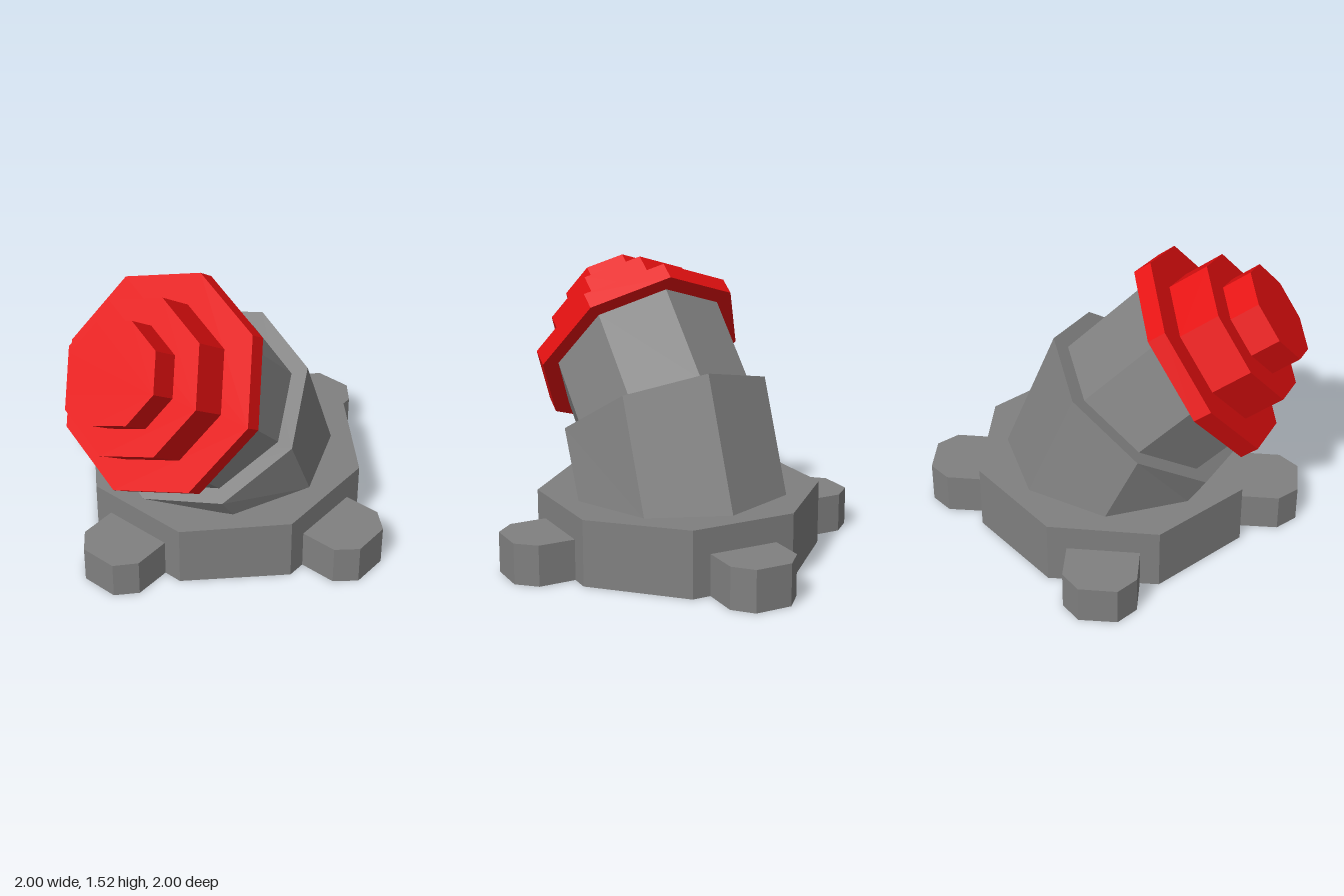
import * as THREE from 'three';

const grey = new THREE.MeshStandardMaterial({ name: 'grey metal', color: 0x808080, side: THREE.DoubleSide, flatShading: true });
const red = new THREE.MeshStandardMaterial({ name: 'red paint', color: 0xe61010, side: THREE.DoubleSide, flatShading: true });

// Faceted shell through rings of points, with optional flat ends
function loft(name, rings, material, { bottom = false, top = true, skipLast = false } = {}) {
  const pos = [];
  const tri = (...pts) => pts.forEach((p) => pos.push(p.x, p.y, p.z));
  const n = rings[0].length;
  for (let k = 0; k + 1 < rings.length; k++) {
    const a = rings[k], b = rings[k + 1];
    for (let i = 0; i < (skipLast ? n - 1 : n); i++) {
      const j = (i + 1) % n;
      tri(a[i], b[i], b[j]);
      tri(a[i], b[j], a[j]);
    }
  }
  const first = rings[0], last = rings[rings.length - 1];
  for (let i = 1; i < n - 1; i++) {
    if (top) tri(last[0], last[i + 1], last[i]);
    if (bottom) tri(first[0], first[i], first[i + 1]);
  }
  const geometry = new THREE.BufferGeometry();
  geometry.setAttribute('position', new THREE.Float32BufferAttribute(pos, 3));
  geometry.computeVertexNormals();
  const mesh = new THREE.Mesh(geometry, material);
  mesh.name = name;
  return mesh;
}

// Octagon whose axis leans forward by the given angle
function octagon(y, z, lean, radius) {
  return Array.from({ length: 8 }, (_, i) => {
    const a = (i * Math.PI) / 4;
    const d = radius * Math.sin(a);
    return new THREE.Vector3(radius * Math.cos(a), y - d * Math.sin(lean), z + d * Math.cos(lean));
  });
}

// Hollow block on the ground with a slightly sloping top
function block(name, outline, height, options) {
  const lower = outline.map(([x, z]) => new THREE.Vector3(x, 0, z));
  const upper = outline.map(([x, z]) => new THREE.Vector3(x, height + 0.006 * x - 0.02 * z * (height / 0.35), z));
  return loft(name, [lower, upper], grey, options);
}

export function createModel() {
  const model = new THREE.Group();

  // Base plate, open underneath
  const s = 0.7, c = 0.29;
  model.add(block('base', [[s, -c], [s, c], [c, s], [-c, s], [-s, c], [-s, -c], [-c, -s], [c, -s]], 0.348));

  // Four chamfered feet, open underneath and against the base
  const foot = [[0.7, -0.19], [0.9, -0.19], [1, -0.1], [1, 0.1], [0.9, 0.19], [0.7, 0.19]];
  ['leftFoot', 'frontFoot', 'rightFoot', 'backFoot'].forEach((name, k) => {
    const cos = [1, 0, -1, 0][k], sin = [0, 1, 0, -1][k];
    const outline = foot.map(([x, z]) => [x * cos - z * sin, x * sin + z * cos]);
    model.add(block(name, outline, 0.214, { skipLast: true }));
  });

  // Bent pipe in two sections
  const lean1 = 0.604, lean2 = 0.95;
  model.add(loft('lowerPipe', [octagon(0.345, 0, 0.021, 0.59), octagon(0.705, 0.165, lean1, 0.59)], grey));
  model.add(loft('upperPipe', [octagon(0.705, 0.165, lean1, 0.5), octagon(0.985, 0.44, lean2, 0.5)], grey, { top: false }));

  // Stepped red cap along the leaning axis
  let along = 0;
  [['capFlange', 0.59, 0.1], ['capMiddle', 0.42, 0.227], ['capTip', 0.273, 0.165]].forEach(([name, radius, depth]) => {
    const ring = (t) => octagon(0.985 + t * Math.cos(lean2), 0.44 + t * Math.sin(lean2), lean2, radius);
    model.add(loft(name, [ring(along), ring(along + depth)], red, { bottom: name === 'capFlange' }));
    along += depth;
  });

  return model;
}
